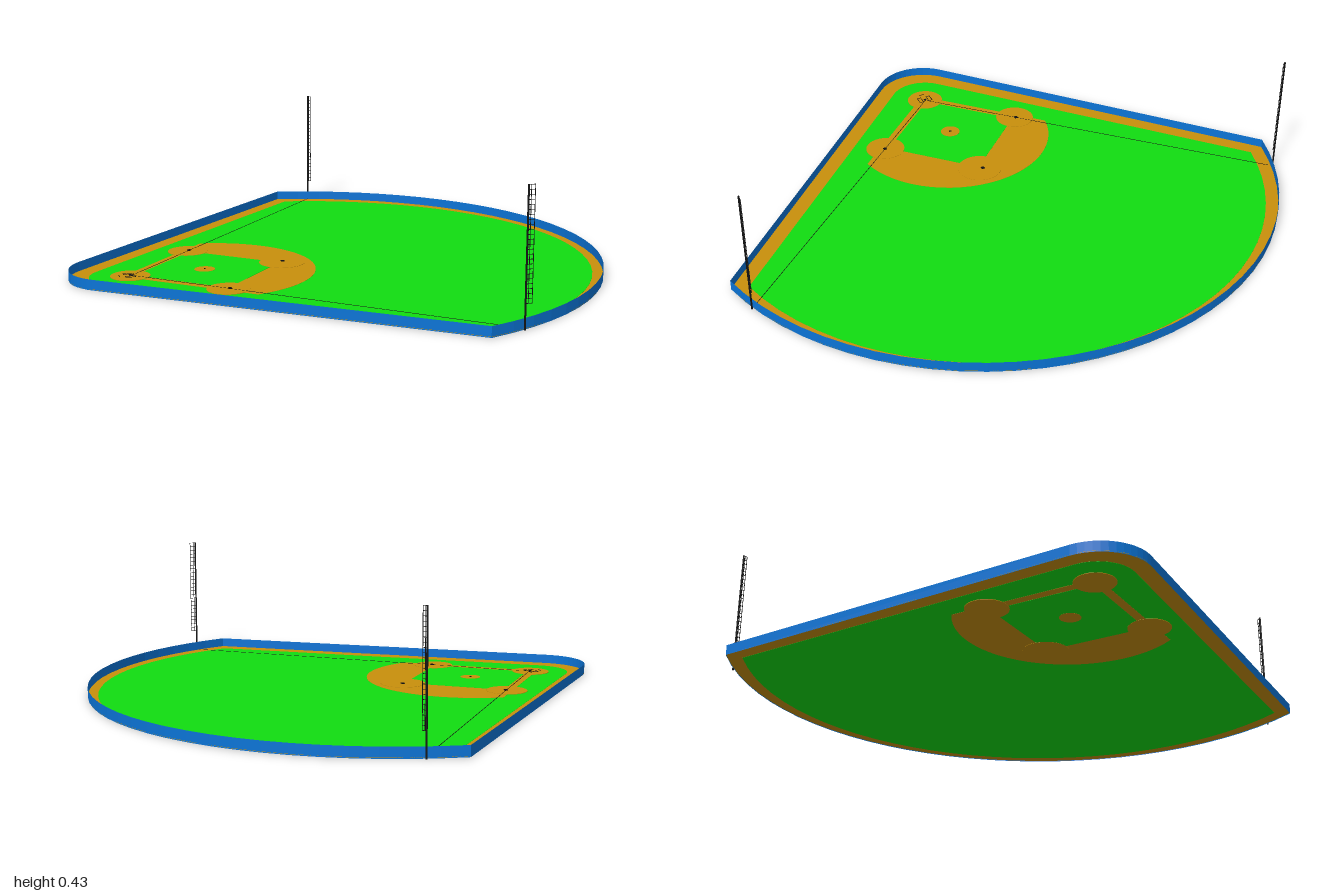
import * as THREE from 'three';

const mat = (color) => new THREE.MeshStandardMaterial({ color, side: THREE.DoubleSide, flatShading: true });
const DIRT = mat(0xc8900c), GRASS = mat(0x11dd11), WALL = mat(0x0b74d6), DARK = mat(0x111111);
const GROUND = 0.003; // mid-height of the ground layers
const LAYER = 0.0005; // how far each layer stands out above and below the last

// Points of a circular arc, from angle a to angle b
function arc(cx, r, a, b, n) {
  return Array.from({ length: n + 1 }, (_, i) => {
    const t = a + ((b - a) * i) / n;
    return new THREE.Vector2(cx + r * Math.cos(t), r * Math.sin(t));
  });
}

// Fan-shaped outline: wide outfield arc joined by straight sides to a rounded home corner
function fan(cornerX, cornerZ, apexX, homeX, homeR) {
  const cx = (apexX ** 2 - cornerX ** 2 - cornerZ ** 2) / (2 * (apexX - cornerX));
  const a = Math.atan2(cornerZ, cornerX - cx);
  const h = THREE.MathUtils.degToRad(132.4);
  return [...arc(cx, apexX - cx, -a, a, 32), ...arc(homeX, homeR, h, 2 * Math.PI - h, 12)];
}

export function createModel() {
  const model = new THREE.Group();
  model.name = 'ballField';

  const add = (name, geo, material, parent = model) => {
    const m = new THREE.Mesh(geo, material);
    m.name = name;
    parent.add(m);
    return m;
  };

  // Thin slab centred on ground height; higher levels show on both faces
  const slab = (name, points, level, material) => {
    const t = level * LAYER;
    const geo = new THREE.ExtrudeGeometry(new THREE.Shape(points), { depth: 2 * t, bevelEnabled: false });
    geo.rotateX(-Math.PI / 2).translate(0, GROUND - t, 0);
    return add(name, geo, material);
  };
  const disc = (name, x, z, r, level, material) => {
    const geo = new THREE.CylinderGeometry(r, r, 2 * level * LAYER, 32);
    add(name, geo, material).position.set(x, GROUND, z);
  };
  const box = (name, w, h, d, x, y, z, parent) => {
    const m = add(name, new THREE.BoxGeometry(w, h, d), DARK, parent);
    m.position.set(x, y, z);
    return m;
  };

  // Ground layers
  const outline = fan(0.12, 1, 0.903, -0.74, 0.165);
  slab('warningTrack', outline, 1, DIRT);
  slab('grass', fan(0.135, 0.945, 0.87, -0.718, 0.122), 2, GRASS);
  const edge = Math.atan2(0.357, 0.07);
  slab('infieldDirt', [new THREE.Vector2(-0.733, 0), ...arc(-0.445, 0.364, -edge, edge, 28)], 3, DIRT);
  slab('infieldGrass', arc(-0.44, 0.25, 0, 1.5 * Math.PI, 3), 4, GRASS);
  disc('homeCircle', -0.705, 0, 0.066, 5, DIRT);
  disc('mound', -0.453, 0, 0.035, 5, DIRT);
  disc('secondBaseDirt', -0.182, 0, 0.078, 5, DIRT);
  for (const s of [-1, 1]) disc('cornerBaseDirt', -0.445, s * 0.262, 0.07, 5, DIRT);

  // Perimeter wall: an open ribbon standing on the outline
  const pos = [];
  outline.forEach((p, i) => {
    const q = outline[(i + 1) % outline.length];
    const H = 0.035;
    pos.push(p.x, 0, -p.y, q.x, 0, -q.y, q.x, H, -q.y);
    pos.push(p.x, 0, -p.y, q.x, H, -q.y, p.x, H, -p.y);
  });
  const wall = new THREE.BufferGeometry();
  wall.setAttribute('position', new THREE.Float32BufferAttribute(pos, 3));
  wall.computeVertexNormals();
  add('perimeterWall', wall, WALL);

  // Bases, home plate and pitching plate
  const top = GROUND + 5 * LAYER + 0.001;
  for (const [x, z] of [[-0.44, -0.265], [-0.44, 0.265], [-0.176, -0.01]]) {
    box('base', 0.011, 0.004, 0.011, x, top, z);
  }
  box('homePlate', 0.008, 0.002, 0.008, -0.705, top, 0);
  box('pitchingPlate', 0.004, 0.002, 0.01, -0.453, top, 0);

  // Batter boxes and catcher line
  for (const s of [-1, 1]) {
    for (const x of [-0.724, -0.692]) box('batterBoxSide', 0.002, 0.001, 0.014, x, top, s * 0.018);
    for (const z of [0.011, 0.025]) box('batterBoxEnd', 0.032, 0.001, 0.002, -0.708, top, s * z);
  }
  box('catcherLine', 0.002, 0.001, 0.02, -0.742, top, 0);

  for (const s of [-1, 1]) {
    // Foul line from home plate to the pole
    const dx = 0.935, dz = s * 0.955;
    const line = box('foulLine', Math.hypot(dx, dz), 0.001, 0.0015, -0.7 + dx / 2, top - 0.001, dz / 2);
    line.rotation.y = -Math.atan2(dz, dx);

    // Foul pole with its ladder-like screen
    const pole = new THREE.Group();
    pole.name = 'foulPole';
    pole.position.set(0.242, 0, s * 0.967);
    const post = add('post', new THREE.CylinderGeometry(0.003, 0.003, 0.43, 8), DARK, pole);
    post.position.y = 0.215;
    const width = s > 0 ? 0.021 : 0.014;
    for (const f of [0.4, 1]) box('screenBar', 0.0015, 0.35, 0.0015, width * f, 0.255, 0, pole);
    for (let i = 0; i <= 24; i++) {
      box('screenRung', width, 0.0015, 0.0015, width / 2, 0.08 + (0.349 * i) / 24, 0, pole);
    }
    if (s < 0) pole.rotation.y = -1.0;
    model.add(pole);
  }
  return model;
}
